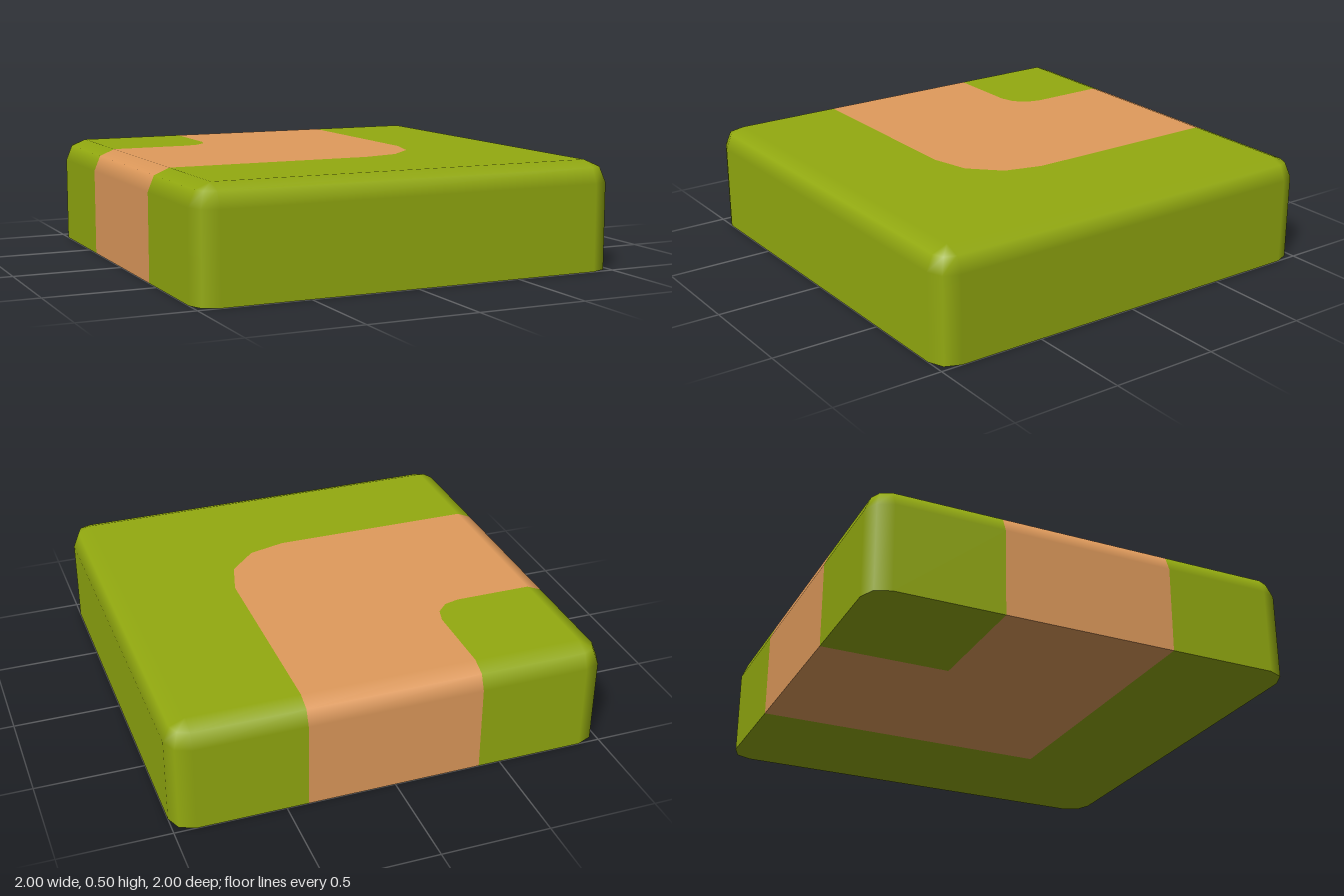
import * as THREE from 'three';

const R = 0.1;      // edge rounding
const CORE = 0.9;   // half size of the flat top
const PATH = 0.4;   // half width of the path
const H = 0.5;

// Edge profile from the ground up: height, outward reach, normal tilt
const PROFILE = [
  [0, R, 0],
  ...[0, 45, 90].map((deg) => {
    const a = THREE.MathUtils.degToRad(deg);
    return [H - R + R * Math.sin(a), R * Math.cos(a), a];
  }),
];

// A column is a point on the flat top's border and its outward direction (x, z)
const column = (x, z, deg) => {
  const a = THREE.MathUtils.degToRad(deg);
  return { x, z, nx: Math.cos(a), nz: Math.sin(a) };
};

const corner = (sx, sz, startDeg) =>
  [0, 45, 90].map((d) => column(sx * CORE, sz * CORE, startDeg - d));

// Rounded bend of the path border, in three straight steps, from the x side to the z side
const bend = (at, radius) =>
  [0, 30, 60, 90].map((d) => {
    const a = THREE.MathUtils.degToRad(d);
    const c = at - radius;
    return [c + radius * Math.cos(a), c + radius * Math.sin(a)];
  });

// Side wall with its rounded upper edge, swept along a run of columns
function wallGeometry(columns) {
  const positions = [], normals = [], index = [];
  const n = PROFILE.length;
  for (const c of columns) {
    for (const [y, reach, tilt] of PROFILE) {
      positions.push(c.x + c.nx * reach, y, c.z + c.nz * reach);
      normals.push(c.nx * Math.cos(tilt), Math.sin(tilt), c.nz * Math.cos(tilt));
    }
  }
  for (let i = 0; i < columns.length - 1; i++) {
    for (let j = 0; j < n - 1; j++) {
      const a = i * n + j, b = a + n;
      index.push(a, b, b + 1, a, b + 1, a + 1);
    }
  }
  const g = new THREE.BufferGeometry();
  g.setAttribute('position', new THREE.Float32BufferAttribute(positions, 3));
  g.setAttribute('normal', new THREE.Float32BufferAttribute(normals, 3));
  g.setIndex(index);
  return g;
}

// Flat face through [x, z] points, facing up or down
function capGeometry(points, y, up) {
  const s = up ? -1 : 1;
  const pts = points
    .filter((p, i) => i === 0 || Math.hypot(p[0] - points[i - 1][0], p[1] - points[i - 1][1]) > 1e-5)
    .map(([x, z]) => new THREE.Vector2(x, s * z));
  return new THREE.ShapeGeometry(new THREE.Shape(pts))
    .rotateX((s * Math.PI) / 2)
    .translate(0, y, 0);
}

const topEdge = (columns) => columns.map((c) => [c.x, c.z]);
const bottomEdge = (columns) => columns.map((c) => [c.x + c.nx * R, c.z + c.nz * R]);

export function createModel() {
  const grass = new THREE.MeshStandardMaterial({ color: 0x93aa10 });
  grass.name = 'grass green';
  const dirt = new THREE.MeshStandardMaterial({ color: 0xe09b5c });
  dirt.name = 'dirt tan';

  const model = new THREE.Group();
  model.name = 'pathCornerTile';

  function addPart(name, material, walls, top, bottom) {
    const part = new THREE.Group();
    part.name = name;
    const add = (suffix, geometry) => {
      const mesh = new THREE.Mesh(geometry, material);
      mesh.name = name + suffix;
      part.add(mesh);
    };
    walls.forEach((w) => add('Side', wallGeometry(w)));
    add('Top', capGeometry(top, H, true));
    add('Base', capGeometry(bottom, 0, false));
    model.add(part);
  }

  // Border runs, counter-clockwise seen from above
  const leftFront = column(-CORE, PATH, 180);
  const leftBack = column(-CORE, -PATH, 180);
  const backRight = column(PATH, -CORE, -90);
  const backLeft = column(-PATH, -CORE, -90);
  const outerRun = [leftFront, ...corner(-1, 1, 180), ...corner(1, 1, 90), ...corner(1, -1, 0), backRight];
  const innerRun = [backLeft, ...corner(-1, -1, 270), leftBack];
  const backRun = [backRight, backLeft];
  const leftRun = [leftBack, leftFront];

  const outerBend = bend(PATH, 0.35);
  const innerBend = bend(-PATH, 0.14);

  // Wide grass around the outside of the bend
  addPart('outerGrass', grass, [outerRun],
    [...topEdge(outerRun), ...outerBend],
    [...bottomEdge(outerRun), [PATH, PATH]]);

  // Small grass block inside the bend
  addPart('innerGrass', grass, [innerRun],
    [...topEdge(innerRun), ...[...innerBend].reverse()],
    [...bottomEdge(innerRun), [-PATH, -PATH]]);

  // Dirt path; the bend is square underneath
  addPart('dirtPath', dirt, [backRun, leftRun],
    [...topEdge(backRun), ...innerBend, ...topEdge(leftRun), ...[...outerBend].reverse()],
    [...bottomEdge(backRun), [-PATH, -PATH], ...bottomEdge(leftRun), [PATH, PATH]]);

  return model;
}
